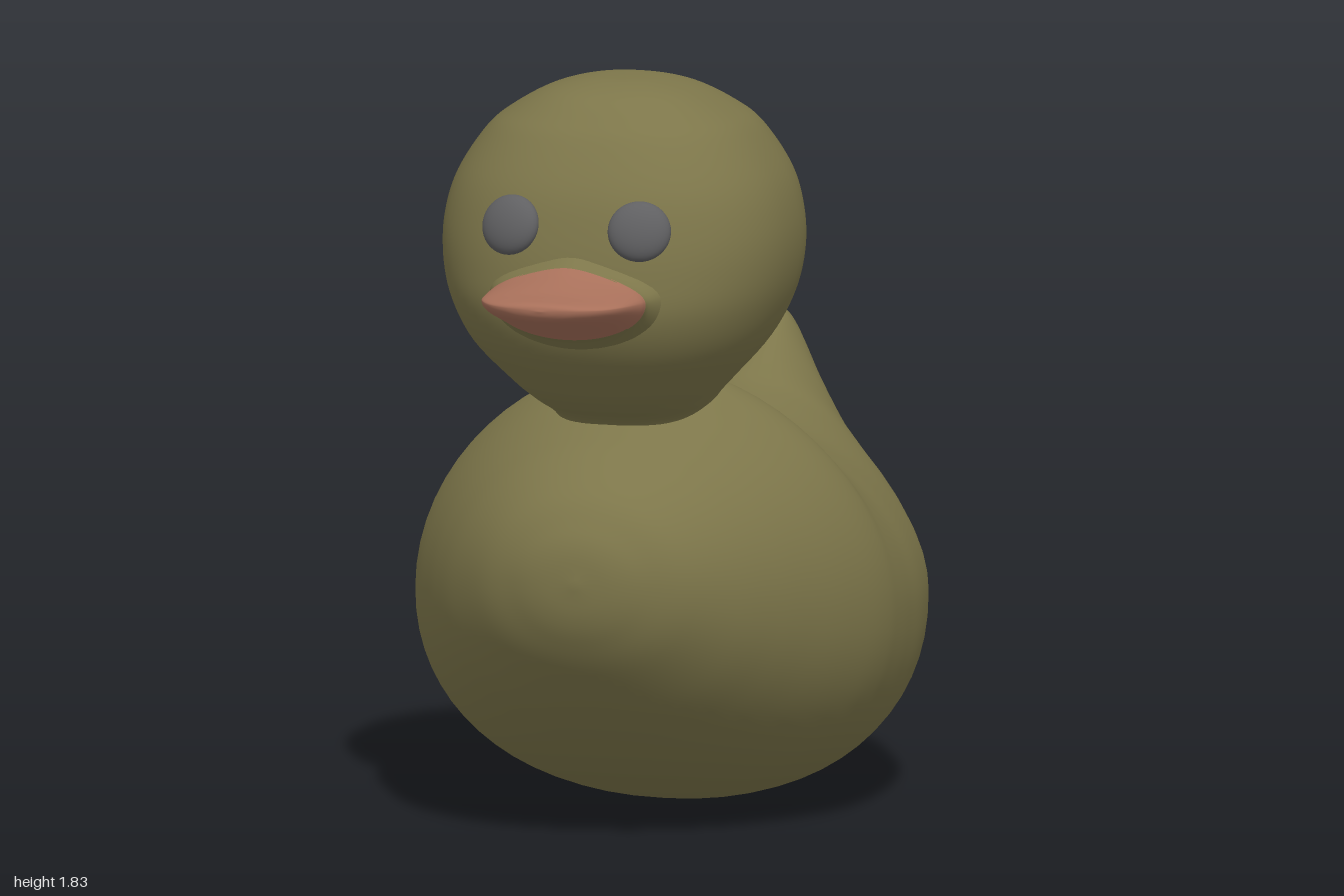
import * as THREE from 'three';
import { mergeVertices } from 'three/addons/utils/BufferGeometryUtils.js';

const RING = 64;
const power = (v, p) => Math.sign(v) * Math.pow(Math.abs(v), p);

// Smooth skin through stations [s, low, high, halfWidth, widestLevel, topPinch].
// place(x, v, s) turns a section point into a position; upper and lower set
// how square each half of a section is (2 = ellipse).
function loft(stations, place, upper = 2, lower = upper, steps = 6) {
  const spline = (pick) => new THREE.CatmullRomCurve3(
    stations.map((st) => new THREE.Vector3(...pick(st))), false, 'catmullrom', 0.5);
  const heights = spline(([s, lo, hi]) => [s, lo, hi]);
  const widths = spline(([, , , w, mid, pinch]) => [w, mid, pinch]);
  const rows = (stations.length - 1) * steps;
  const pos = [], index = [];
  for (let i = 0; i <= rows; i++) {
    const { x: s, y: lo, z: hi } = heights.getPoint(i / rows);
    const { x: w, y: mid, z: pinch } = widths.getPoint(i / rows);
    for (let j = 0; j < RING; j++) {
      const a = (j / RING) * Math.PI * 2;
      const p = 2 / (j < RING / 2 ? upper : lower);
      const c = power(Math.cos(a), p), n = power(Math.sin(a), p);
      const narrow = n > 0 ? 1 - pinch * n * n : 1;
      pos.push(...place(Math.max(w, 0) * c * narrow, mid + n * (n > 0 ? hi - mid : mid - lo), s));
      if (i < rows) {
        const k = (j + 1) % RING, r = i * RING, q = r + RING;
        index.push(r + j, r + k, q + k, r + j, q + k, q + j);
      }
    }
  }
  const geo = new THREE.BufferGeometry();
  geo.setAttribute('position', new THREE.Float32BufferAttribute(pos, 3));
  geo.setIndex(index);
  const merged = mergeVertices(geo, 1e-5);
  merged.computeVertexNormals();
  return merged;
}

function part(name, geometry, color) {
  const mesh = new THREE.Mesh(geometry, new THREE.MeshStandardMaterial({ color }));
  mesh.name = name;
  return mesh;
}

export function createModel() {
  const model = new THREE.Group();
  model.name = 'toyDuck';
  const olive = 0x7d764a, orange = 0xa8705a, dark = 0x606062;
  const alongZ = (x, v, s) => [x, v, s];
  const alongY = (x, v, s) => [x, s, v];

  // Body, from tail tip to breast, with a raised nape behind the neck
  model.add(part('body', loft([
    [-1.0, 0.98, 0.98, 0, 0.98, 0.3],
    [-0.985, 0.84, 1.035, 0.04, 0.95, 0.3],
    [-0.95, 0.7, 1.05, 0.085, 0.87, 0.4],
    [-0.9, 0.535, 1.035, 0.145, 0.77, 0.45],
    [-0.8, 0.3, 0.99, 0.255, 0.64, 0.42],
    [-0.7, 0.17, 0.95, 0.355, 0.57, 0.33],
    [-0.6, 0.09, 0.92, 0.435, 0.53, 0.25],
    [-0.4, 0.018, 0.9, 0.53, 0.49, 0.1],
    [-0.2, 0.002, 0.925, 0.578, 0.49, 0.02],
    [-0.05, 0.012, 0.967, 0.59, 0.5, 0.01],
    [0.05, 0.028, 1.02, 0.592, 0.515, 0.03],
    [0.12, 0.044, 1.085, 0.588, 0.525, 0.06],
    [0.2, 0.066, 1.1, 0.57, 0.535, 0.06],
    [0.3, 0.105, 1.07, 0.533, 0.55, 0.03],
    [0.4, 0.157, 1.03, 0.485, 0.565, 0],
    [0.5, 0.227, 0.99, 0.43, 0.585, 0],
    [0.6, 0.315, 0.945, 0.36, 0.61, 0],
    [0.7, 0.43, 0.87, 0.26, 0.64, 0],
    [0.75, 0.51, 0.8, 0.17, 0.655, 0],
    [0.775, 0.578, 0.74, 0.095, 0.66, 0],
    [0.785, 0.66, 0.66, 0, 0.66, 0],
  ], alongZ, 2, 2.15), olive));

  // Head group turns very slightly about the neck
  const head = new THREE.Group();
  head.name = 'headGroup';
  head.rotation.y = -0.03;
  head.position.set(0.006, 0, 0);
  model.add(head);

  // Head and neck, from crown down: [height, back, front, halfWidth]
  head.add(part('head', loft([
    [1.83, 0.36, 0.36, 0],
    [1.825, 0.26, 0.45, 0.085],
    [1.8, 0.155, 0.54, 0.18],
    [1.75, 0.065, 0.605, 0.27],
    [1.7, 0.012, 0.65, 0.328],
    [1.6, -0.045, 0.71, 0.393],
    [1.5, -0.066, 0.742, 0.422],
    [1.4, -0.077, 0.76, 0.424],
    [1.3, -0.065, 0.762, 0.4],
    [1.2, -0.01, 0.718, 0.348],
    [1.1, 0.053, 0.627, 0.258],
    [1.05, 0.068, 0.56, 0.21],
    [1.0, 0.05, 0.475, 0.175],
    [0.9, 0.05, 0.43, 0.165],
  ].map(([y, b, f, w]) => [y, b, f, w, (b + f) / 2 + 0.015, 0]), alongY, 2.3), olive));

  // Flared root joining the bill to the face
  head.add(part('billRoot', loft([
    [0.64, 1.17, 1.5, 0.26, 1.345, 0.4],
    [0.71, 1.21, 1.475, 0.222, 1.35, 0.45],
    [0.76, 1.242, 1.445, 0.2, 1.35, 0.45],
    [0.79, 1.256, 1.43, 0.196, 1.352, 0.42],
  ], alongZ), olive));

  // Bill, from root to tip
  head.add(part('bill', loft([
    [0.785, 1.254, 1.432, 0.197, 1.352, 0.42],
    [0.82, 1.27, 1.413, 0.195, 1.355, 0.36],
    [0.9, 1.3, 1.388, 0.178, 1.36, 0.2],
    [0.95, 1.318, 1.38, 0.145, 1.36, 0.1],
    [0.98, 1.33, 1.376, 0.1, 1.36, 0],
    [0.994, 1.343, 1.37, 0.055, 1.36, 0],
    [1.0, 1.358, 1.358, 0, 1.358, 0],
  ], alongZ), orange));

  // Flattened eyes set into the face
  for (const side of [-1, 1]) {
    const eye = part(side > 0 ? 'leftEye' : 'rightEye', new THREE.SphereGeometry(1, 32, 20), dark);
    eye.scale.set(0.076, 0.073, 0.036);
    eye.position.set(side * 0.162, 1.517, 0.727);
    eye.rotation.set(-0.3, side * 0.25, 0, 'YXZ');
    head.add(eye);
  }
  return model;
}
